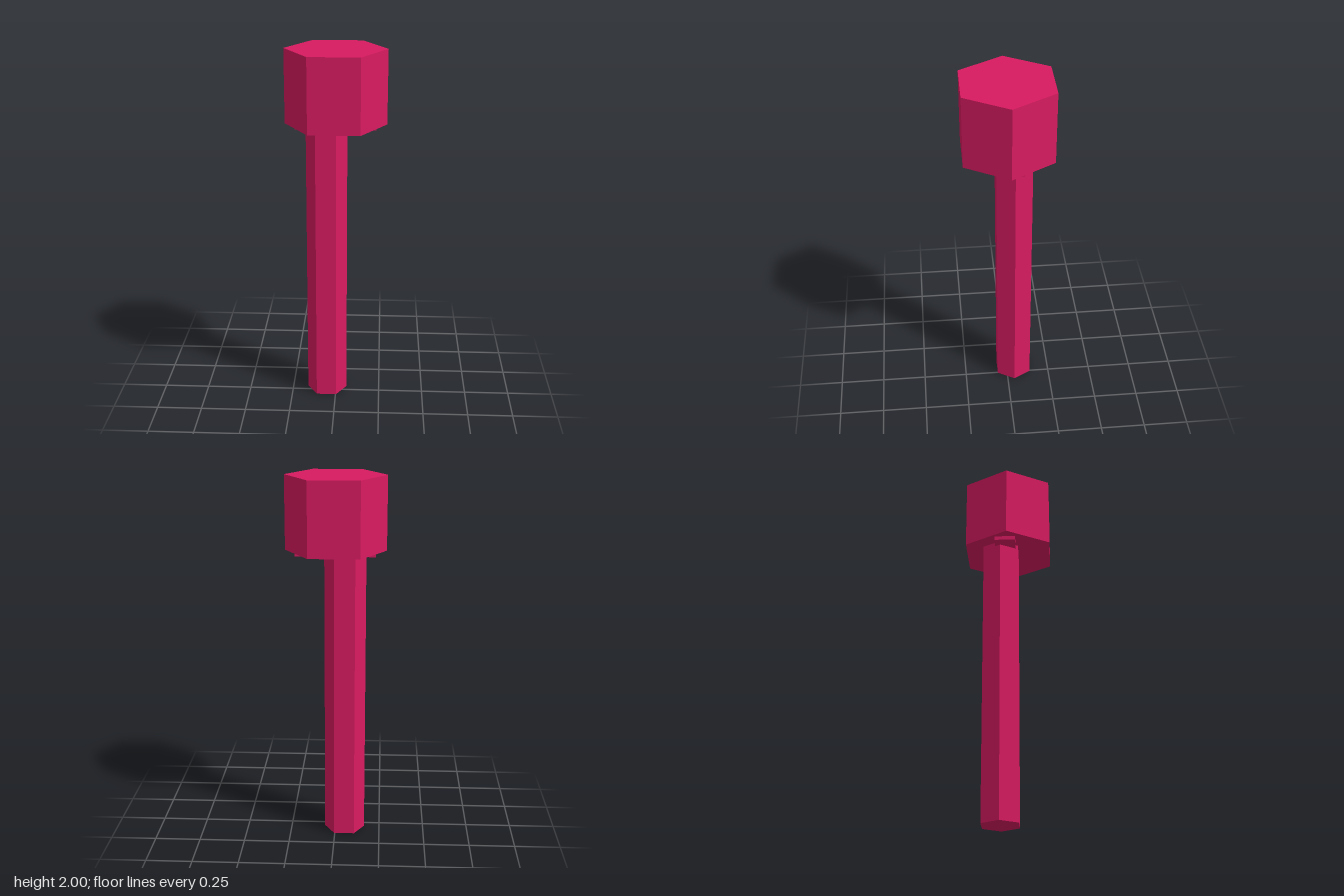
import * as THREE from 'three';

export function createModel() {
  const group = new THREE.Group();
  const material = new THREE.MeshStandardMaterial({ color: 0xd81b60, flatShading: true });

  const add = (name, geometry, x, y, z) => {
    const mesh = new THREE.Mesh(geometry, material);
    mesh.name = name;
    mesh.position.set(x, y, z);
    group.add(mesh);
  };

  // Hexagonal prism with two corners on the x axis
  const hexPrism = (radius, height) =>
    new THREE.CylinderGeometry(radius, radius, height, 6, 1, false, Math.PI / 6);

  // Wide hexagonal head
  add('head', hexPrism(0.272, 0.4), 0, 1.8, 0);

  // Thin strip under the head
  add('strip', new THREE.BoxGeometry(0.43, 0.022, 0.115), 0, 1.589, -0.012);

  // Long hexagonal shaft, set slightly off centre
  add('shaft', hexPrism(0.112, 1.6), -0.052, 0.8, -0.04);

  return group;
}
